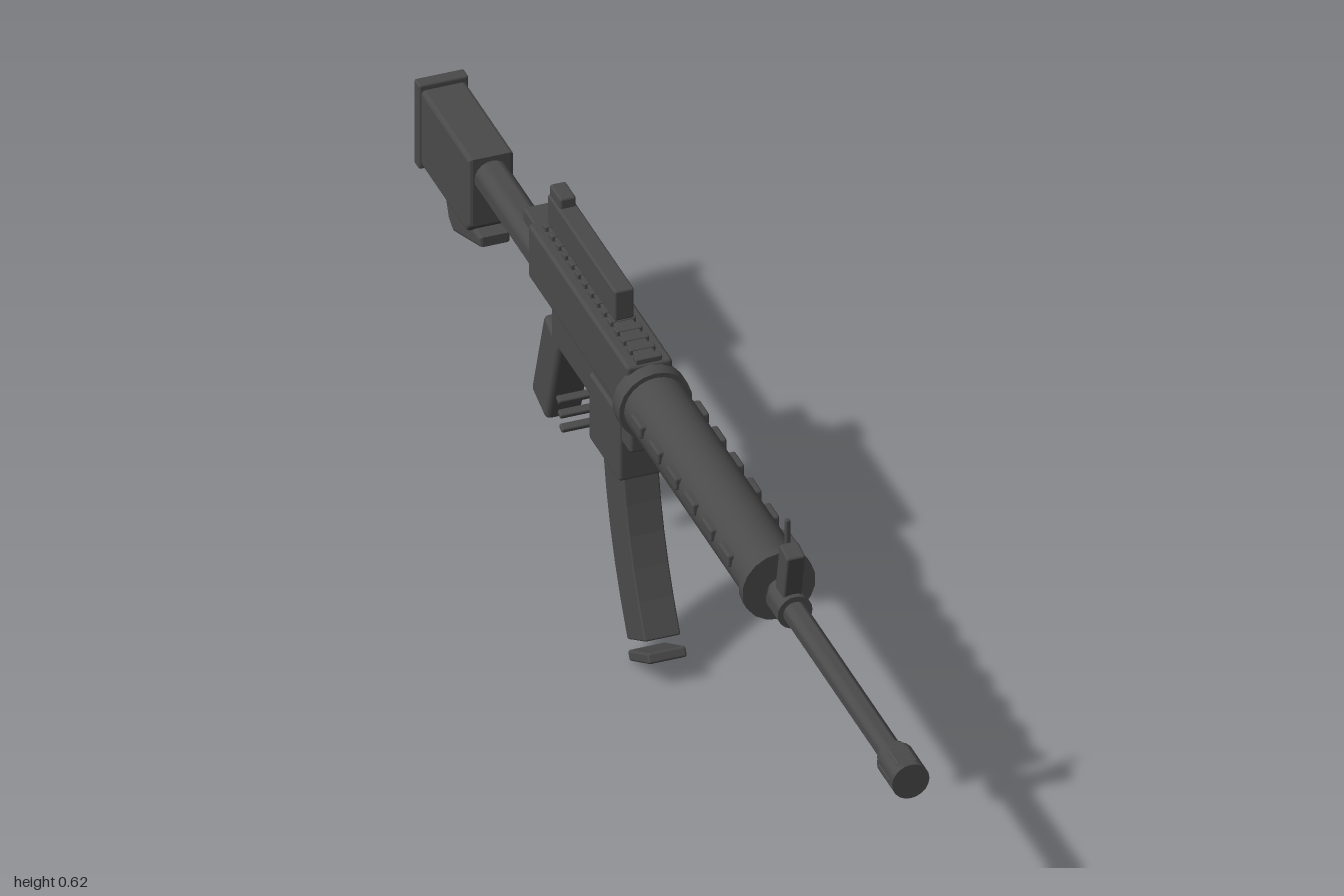
import * as THREE from 'three';
import { RoundedBoxGeometry } from 'three/addons/geometries/RoundedBoxGeometry.js';
import { toCreasedNormals } from 'three/addons/utils/BufferGeometryUtils.js';

export function createModel() {
  const group = new THREE.Group();
  const metal = new THREE.MeshStandardMaterial({ color: 0x4a4a4a });
  metal.name = 'charcoal';

  const add = (name, geometry, x = 0, y = 0, z = 0, tilt = 0) => {
    const mesh = new THREE.Mesh(geometry, metal);
    mesh.name = name;
    mesh.position.set(x, y, z);
    mesh.rotation.x = tilt;
    group.add(mesh);
    return mesh;
  };
  // Box with softened edges, sized in x, y, z
  const box = (name, w, h, d, x, y, z, tilt = 0, r = 0.004) =>
    add(name, new RoundedBoxGeometry(w, h, d, 2, Math.min(r, w / 3, h / 3, d / 3)), x, y, z, tilt);
  // Cylinder lying along z between two depths
  const tube = (name, r, zFront, zBack, y, sides = 20) => {
    const g = new THREE.CylinderGeometry(r, r, zFront - zBack, sides).rotateX(Math.PI / 2);
    return add(name, toCreasedNormals(g, 0.7), 0, y, (zFront + zBack) / 2);
  };
  // Side profile of [z, y] points, extruded across x
  const profile = (name, points, width, bevel) => {
    const shape = new THREE.Shape(points.map(([z, y]) => new THREE.Vector2(z, y)));
    const depth = width - 2 * bevel;
    const g = new THREE.ExtrudeGeometry(shape, {
      depth, bevelSize: bevel, bevelOffset: -bevel, bevelThickness: bevel, bevelSegments: 2,
    });
    return add(name, g.translate(0, 0, -depth / 2).rotateY(-Math.PI / 2));
  };

  // Barrel and muzzle
  tube('barrel', 0.019, 0.98, 0.42, 0.465);
  tube('muzzle', 0.03, 1, 0.935, 0.465);
  tube('muzzleCollar', 0.024, 0.94, 0.92, 0.465);
  for (let i = 0; i < 6; i++) {
    const a = (i / 6) * Math.PI * 2;
    const rib = box('muzzleRib', 0.006, 0.008, 0.045, 0.028 * Math.cos(a), 0.465 + 0.028 * Math.sin(a), 0.965);
    rib.rotation.z = a;
  }

  // Front sight
  tube('sightCollar', 0.028, 0.51, 0.46, 0.465);
  box('frontSightBase', 0.03, 0.09, 0.036, 0, 0.527, 0.49, 0.2);
  box('frontSightPost', 0.008, 0.06, 0.009, 0, 0.583, 0.477);

  // Handguard with end rings and side ribs
  tube('handguard', 0.051, 0.44, -0.1, 0.47, 24);
  tube('handguardFrontRing', 0.059, 0.442, 0.425, 0.47, 18);
  tube('handguardRearRing', 0.059, -0.08, -0.11, 0.47, 18);
  for (const side of [-1, 1]) {
    for (let i = 0; i < 6; i++) {
      box('handguardRib', 0.016, 0.022, 0.042, side * 0.048, 0.483, 0.352 - i * 0.0745);
    }
  }

  // Receiver
  box('upperReceiver', 0.074, 0.095, 0.42, 0, 0.484, -0.315, 0, 0.006);
  box('lowerReceiver', 0.07, 0.075, 0.335, 0, 0.417, -0.265, 0, 0.006);
  box('magazineWell', 0.08, 0.12, 0.13, 0, 0.37, -0.195, 0, 0.006);
  box('sidePanel', 0.008, 0.036, 0.135, 0.036, 0.477, -0.285, 0, 0.003);
  box('ejectionPort', 0.009, 0.024, 0.088, 0.039, 0.497, -0.435, 0, 0.003);
  box('chargingHandle', 0.05, 0.024, 0.06, 0, 0.513, -0.548);

  // Top rail
  box('rail', 0.032, 0.012, 0.4, 0, 0.532, -0.31, 0, 0.002);
  for (let i = 0; i < 15; i++) {
    box('railTooth', 0.042, 0.01, 0.014, 0, 0.535, -0.115 - i * 0.0275, 0, 0.002);
  }

  // Rear sight housing
  box('sightMount', 0.022, 0.02, 0.25, 0, 0.541, -0.36);
  box('sightHousing', 0.032, 0.054, 0.285, 0, 0.57, -0.355);
  box('rearSight', 0.026, 0.055, 0.046, 0, 0.587, -0.474);

  // Curved magazine made of short segments
  const curve = new THREE.QuadraticBezierCurve(
    new THREE.Vector2(-0.191, 0.355), new THREE.Vector2(-0.178, 0.2), new THREE.Vector2(-0.09, 0.053));
  const segments = 6;
  for (let i = 0; i < segments; i++) {
    const a = curve.getPoint(i / segments), b = curve.getPoint((i + 1) / segments);
    const tilt = Math.atan2(a.x - b.x, a.y - b.y);
    box('magazineSegment', 0.058, a.distanceTo(b) + 0.01, 0.086, 0, (a.y + b.y) / 2, (a.x + b.x) / 2, tilt, 0.003);
  }
  box('magazineBase', 0.062, 0.017, 0.096, 0, 0.028, -0.073, -0.5);

  // Trigger group and grip
  box('triggerGuard', 0.02, 0.008, 0.125, 0, 0.368, -0.362);
  box('trigger', 0.012, 0.04, 0.009, 0, 0.37, -0.36);
  box('grip', 0.058, 0.175, 0.068, 0, 0.3, -0.476, 0.31, 0.009);
  for (let i = 0; i < 3; i++) {
    box('gripBar', 0.066, 0.009, 0.014, 0, 0.282 - i * 0.021, -0.411 + i * 0.007, 0.31);
  }

  // Stock and its tube
  tube('stockTube', 0.028, -0.5, -0.82, 0.452);
  profile('stock', [[-0.775, 0.488], [-0.985, 0.488], [-0.985, 0.352], [-0.79, 0.352], [-0.775, 0.368]], 0.072, 0.006);
  profile('stockWedge', [[-0.76, 0.355], [-0.925, 0.355], [-0.91, 0.342], [-0.895, 0.308], [-0.875, 0.296], [-0.76, 0.338]], 0.05, 0.005);
  box('buttPlate', 0.08, 0.152, 0.022, 0, 0.422, -0.989);

  return group;
}
